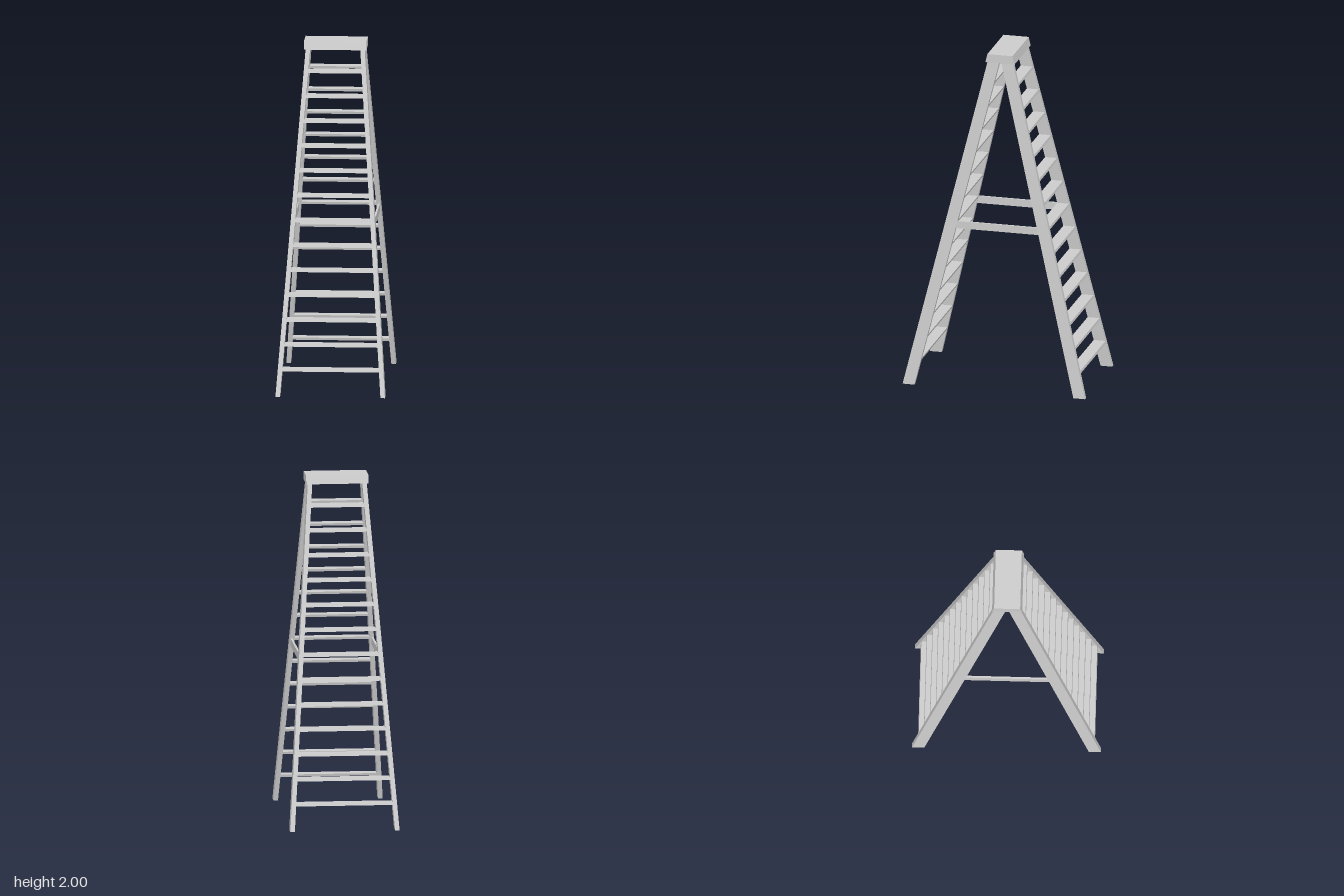
import * as THREE from 'three';

const material = new THREE.MeshStandardMaterial({ color: 0xcccccc, flatShading: true });

// Leg outline at height y: x is the spread direction, z the width direction
const H = 1.96;
const inner = y => THREE.MathUtils.lerp(0.474, 0.004, y / H);
const outer = y => inner(y) + 0.07;
const outside = y => THREE.MathUtils.lerp(0.316, 0.17, y / H);
const inside = y => outside(y) - 0.026;

// Six-sided block between two heights; range(y) gives [x0, x1, z0, z1]
function block(name, y0, y1, range) {
  const geo = new THREE.BoxGeometry(1, 1, 1);
  const p = geo.attributes.position;
  for (let i = 0; i < p.count; i++) {
    const y = p.getY(i) < 0 ? y0 : y1;
    const [x0, x1, z0, z1] = range(y);
    p.setXYZ(i, p.getX(i) < 0 ? x0 : x1, y, p.getZ(i) < 0 ? z0 : z1);
  }
  geo.computeVertexNormals();
  const mesh = new THREE.Mesh(geo, material);
  mesh.name = name;
  return mesh;
}

// One climbing side: two splayed legs and thirteen flat treads
function ladderSide(name) {
  const side = new THREE.Group();
  side.name = name;
  side.add(block('legA', 0, H, y => [inner(y), outer(y), inside(y), outside(y)]));
  side.add(block('legB', 0, H, y => [inner(y), outer(y), -outside(y), -inside(y)]));
  for (let i = 0; i < 13; i++) {
    const y = 0.143 + i * 0.1395;
    side.add(block('tread', y, y + 0.014, h => {
      const w = inside(h) + 0.005;
      return [inner(h), outer(h), -w, w];
    }));
  }
  return side;
}

export function createModel() {
  const model = new THREE.Group();
  model.name = 'stepladder';

  // Two mirrored ladder sides
  const front = ladderSide('ladderSideA');
  const back = ladderSide('ladderSideB');
  back.rotation.y = Math.PI;
  model.add(front, back);

  // Top cap with sloping long sides
  model.add(block('topCap', 1.95, 2, y => {
    const s = y < 2 ? 0.087 : 0.075;
    return [-s, s, -0.18, 0.18];
  }));

  // Spreader bars joining the legs at mid height
  for (const sign of [-1, 1]) {
    const z = sign * 0.234;
    model.add(block('spreaderBar', 0.947, 0.99, y => {
      const s = inner(y) + 0.01;
      return [-s, s, z - 0.006, z + 0.006];
    }));
  }

  // The ladder stands diagonally
  model.rotation.y = Math.PI / 4;
  const root = new THREE.Group();
  root.add(model);
  return root;
}
